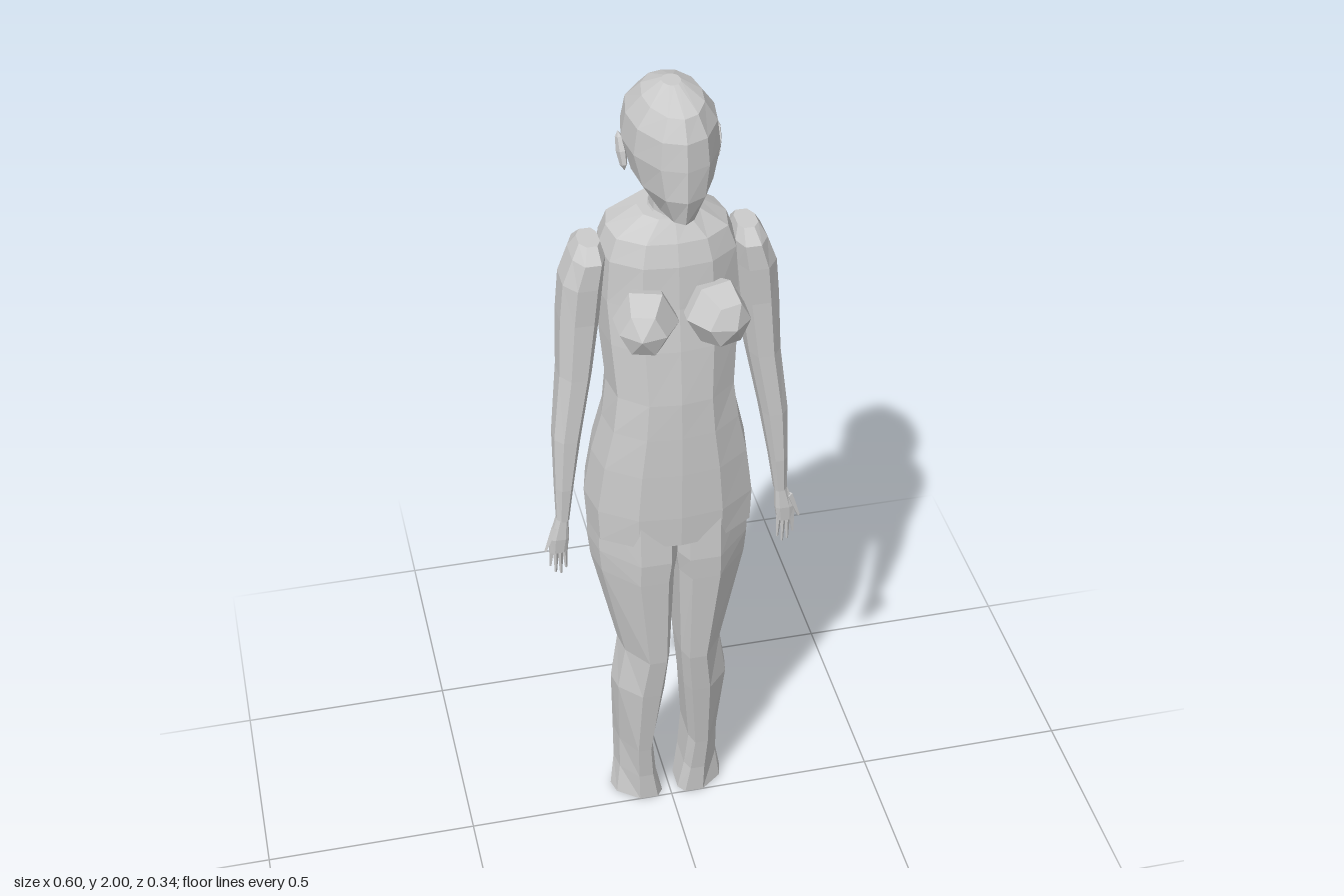
import * as THREE from 'three';

const material = new THREE.MeshStandardMaterial({ color: 0xcccccc, flatShading: true });

// Cross-section outlines in -1..1, running front -> left -> back -> right
const TORSO = [[0, 1], [0.5, 0.92], [0.92, 0.5], [1, -0.15], [0.9, -0.75], [0.52, -1],
  [0, -0.86], [-0.52, -1], [-0.9, -0.75], [-1, -0.15], [-0.92, 0.5], [-0.5, 0.92]];
const HEAD = [[0, 1], [0.5, 0.86], [0.9, 0.4], [1, -0.1], [0.85, -0.6], [0.45, -0.93],
  [0, -1], [-0.45, -0.93], [-0.85, -0.6], [-1, -0.1], [-0.9, 0.4], [-0.5, 0.86]];
const LEG = [[-0.75, 1], [0, 1], [0.85, 0.25], [1, -0.4], [0.55, -1], [-0.5, -1], [-1, -0.5], [-1, 0.6]];
const ARM = [[-0.6, 1], [0.4, 1], [1, 0.5], [1, -0.4], [0.5, -1], [-0.6, -1], [-1, -0.5], [-1, 0.5]];

// Skin rings [y, xMin, xMax, zBack, zFront], listed bottom to top, with closed ends
function loft(outline, rings) {
  const n = outline.length, pos = [], index = [];
  for (const [y, x0, x1, z0, z1] of rings) {
    for (const [u, v] of outline) {
      pos.push((x0 + x1) / 2 + u * (x1 - x0) / 2, y, (z0 + z1) / 2 + v * (z1 - z0) / 2);
    }
  }
  for (let i = 0; i < rings.length - 1; i++) {
    for (let j = 0; j < n; j++) {
      const a = i * n + j, b = i * n + (j + 1) % n;
      index.push(a, b, b + n, a, b + n, a + n);
    }
  }
  const top = (rings.length - 1) * n;
  for (let j = 1; j < n - 1; j++) index.push(0, j + 1, j, top, top + j, top + j + 1);
  const g = new THREE.BufferGeometry();
  g.setAttribute('position', new THREE.Float32BufferAttribute(pos, 3));
  g.setIndex(index);
  return flat(g);
}

// Separate the faces so each has its own normal
function flat(g) {
  const f = g.toNonIndexed();
  f.computeVertexNormals();
  return f;
}

// Mirror across x = 0 and restore the face winding
function mirrored(g) {
  const m = g.clone().scale(-1, 1, 1), p = m.attributes.position;
  const a = new THREE.Vector3(), b = new THREE.Vector3();
  for (let i = 0; i < p.count; i += 3) {
    a.fromBufferAttribute(p, i + 1);
    b.fromBufferAttribute(p, i + 2);
    p.setXYZ(i + 1, b.x, b.y, b.z);
    p.setXYZ(i + 2, a.x, a.y, a.z);
  }
  m.computeVertexNormals();
  return m;
}

// Tapered four-sided finger from base to tip
function finger(base, tip, r) {
  const a = new THREE.Vector3(...base), b = new THREE.Vector3(...tip), d = b.clone().sub(a);
  const g = new THREE.CylinderGeometry(r * 0.4, r, d.length(), 4);
  g.applyQuaternion(new THREE.Quaternion().setFromUnitVectors(new THREE.Vector3(0, 1, 0), d.normalize()));
  a.add(b).multiplyScalar(0.5);
  return flat(g.translate(a.x, a.y, a.z));
}

export function createModel() {
  const model = new THREE.Group();
  const add = (name, g) => {
    const mesh = new THREE.Mesh(g, material);
    mesh.name = name;
    model.add(mesh);
  };
  const pair = (name, g) => {
    add(name + 'Left', g);
    add(name + 'Right', mirrored(g));
  };
  // Symmetric ring from a half width
  const sym = ([y, w, z0, z1]) => [y, -w, w, z0, z1];

  // Torso, ending in the overhanging seat
  add('torso', loft(TORSO, [
    [0.88, 0.188, -0.15, 0.098], [0.96, 0.192, -0.165, 0.102], [1.08, 0.175, -0.145, 0.103],
    [1.18, 0.152, -0.125, 0.102], [1.27, 0.14, -0.135, 0.1], [1.4, 0.15, -0.155, 0.088],
    [1.5, 0.155, -0.172, 0.075], [1.6, 0.148, -0.15, 0.068], [1.65, 0.13, -0.135, 0.055],
    [1.695, 0.065, -0.105, 0.03],
  ].map(sym)));
  add('neck', loft(HEAD, [[1.66, 0.06, -0.1, 0.035], [1.7, 0.04, -0.09, 0.025], [1.78, 0.04, -0.09, 0.02]].map(sym)));

  // Head with a narrow jaw
  add('head', loft(HEAD, [
    [1.715, 0.015, -0.05, 0.05], [1.74, 0.042, -0.105, 0.128], [1.8, 0.082, -0.15, 0.146],
    [1.87, 0.1, -0.168, 0.144], [1.93, 0.092, -0.145, 0.138], [1.975, 0.062, -0.095, 0.115],
    [2.0, 0.02, -0.03, 0.02],
  ].map(sym)));
  const ear = new THREE.SphereGeometry(1, 6, 4).scale(0.011, 0.042, 0.02);
  ear.rotateX(-0.35).rotateZ(-0.1).translate(0.1, 1.84, -0.025);
  pair('ear', flat(ear));

  // Bust
  const bust = new THREE.SphereGeometry(1, 6, 4).rotateX(Math.PI / 2).scale(0.07, 0.075, 0.088);
  bust.rotateY(0.3).translate(0.075, 1.493, 0.085);
  pair('bust', flat(bust));

  // Legs, flat in front with a slanted outer side
  pair('leg', loft(LEG, [
    [0, 0.02, 0.14, -0.105, 0], [0.08, 0.036, 0.128, -0.13, 0.004], [0.18, 0.045, 0.128, -0.142, 0.018],
    [0.39, 0.024, 0.14, -0.085, 0.053], [0.51, 0.014, 0.122, -0.1, 0.072], [0.77, 0.006, 0.18, -0.12, 0.093],
    [0.83, -0.002, 0.186, -0.122, 0.097], [0.95, -0.002, 0.186, -0.12, 0.09],
  ]));

  // Arms
  pair('arm', loft(ARM, [
    [0.93, 0.238, 0.266, -0.014, 0.02], [1.02, 0.226, 0.266, -0.034, 0.024], [1.15, 0.205, 0.264, -0.062, 0.024],
    [1.31, 0.175, 0.246, -0.095, 0.02], [1.45, 0.155, 0.24, -0.112, 0.02], [1.54, 0.146, 0.232, -0.115, 0.024],
    [1.6, 0.14, 0.21, -0.112, 0.024], [1.63, 0.148, 0.193, -0.08, -0.005],
  ]));

  // Hands
  pair('palm', loft(ARM, [
    [0.84, 0.246, 0.286, 0.002, 0.016], [0.88, 0.24, 0.285, -0.002, 0.02], [0.94, 0.24, 0.265, -0.012, 0.018],
  ]));
  [0.79, 0.775, 0.78, 0.8].forEach((tipY, i) => {
    const x = 0.25 + i * 0.01;
    pair('finger' + (i + 1), finger([x, 0.85, 0.009], [x + 0.002 * (i - 1), tipY, 0.007], 0.007));
  });
  pair('thumb', finger([0.272, 0.91, 0.01], [0.295, 0.85, 0.014], 0.009));

  return model;
}
